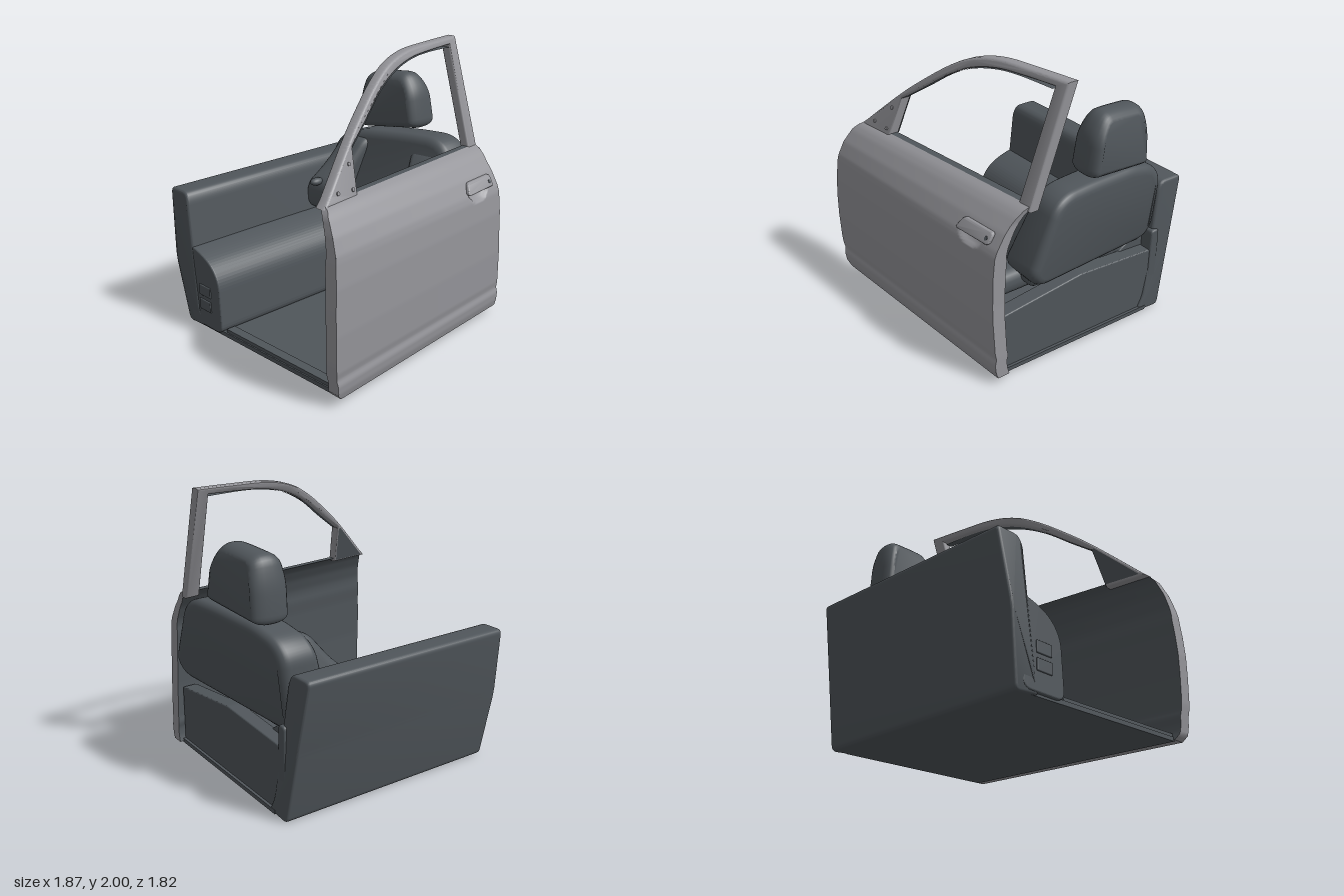
import * as THREE from 'three';
import { mergeVertices, toCreasedNormals } from 'three/addons/utils/BufferGeometryUtils.js';
import { RoundedBoxGeometry } from 'three/addons/geometries/RoundedBoxGeometry.js';

const paint = new THREE.MeshStandardMaterial({ color: 0x95959a, side: THREE.DoubleSide });
paint.name = 'grey paint';
const trim = new THREE.MeshStandardMaterial({ color: 0x50565b, side: THREE.DoubleSide });
trim.name = 'dark trim';

// Piecewise lookup through [key, value] pairs
function look(table, k) {
  let i = 1;
  while (i < table.length - 1 && k > table[i][0]) i++;
  const [a, va] = table[i - 1], [b, vb] = table[i];
  return va + (vb - va) * THREE.MathUtils.clamp((k - a) / (b - a), 0, 1);
}

// Smooth sheet from a rule (u, v) => [x, y, z]
function sheet(rule, nu, nv) {
  const pos = [], idx = [];
  for (let j = 0; j <= nv; j++) for (let i = 0; i <= nu; i++) pos.push(...rule(i / nu, j / nv));
  for (let j = 0; j < nv; j++) for (let i = 0; i < nu; i++) {
    const a = j * (nu + 1) + i, b = a + 1, c = a + nu + 1, d = c + 1;
    idx.push(a, b, d, a, d, c);
  }
  const g = new THREE.BufferGeometry();
  g.setAttribute('position', new THREE.Float32BufferAttribute(pos, 3));
  g.setIndex(idx);
  g.computeVertexNormals();
  return g;
}

// Move every vertex by a rule, then recompute normals
function warp(geo, rule, crease = 0.7) {
  const p = geo.attributes.position, v = new THREE.Vector3();
  for (let i = 0; i < p.count; i++) {
    v.fromBufferAttribute(p, i);
    rule(v);
    p.setXYZ(i, v.x, v.y, v.z);
  }
  geo.deleteAttribute('normal');
  geo.deleteAttribute('uv');
  return toCreasedNormals(mergeVertices(geo, 1e-4), crease);
}

// Polygon with rounded corners
function roundedShape(pts, r) {
  const P = pts.map(p => new THREE.Vector2(...p)), s = new THREE.Shape(), n = P.length;
  P.forEach((p, i) => {
    const toward = q => p.clone().add(q.clone().sub(p).setLength(Math.min(r, q.distanceTo(p) * 0.48)));
    const a = toward(P[(i + n - 1) % n]), b = toward(P[(i + 1) % n]);
    if (i) s.lineTo(a.x, a.y); else s.moveTo(a.x, a.y);
    s.quadraticCurveTo(p.x, p.y, b.x, b.y);
  });
  s.closePath();
  return s;
}

// Padded block between two depths; the bevel stays inside the outline
function pad(pts, r, d0, d1, bevel, thick = bevel) {
  const g = new THREE.ExtrudeGeometry(roundedShape(pts, r), {
    depth: d1 - d0 - 2 * thick, bevelEnabled: true, bevelThickness: thick, bevelSize: bevel,
    bevelOffset: -bevel, bevelSegments: 5, curveSegments: 6,
  });
  return g.translate(0, 0, d0 + thick);
}
// Same, with the outline in (z, y) and the depth along x
const padX = (pts, r, x0, x1, bevel, thick) =>
  pad(pts.map(([z, y]) => [-z, y]).reverse(), r, x0, x1, bevel, thick).rotateY(Math.PI / 2);

// Door surface tables, keyed by height
const BULGE = [[0.05, 0.885], [0.1, 0.9], [0.16, 0.906], [0.2, 0.895], [0.25, 0.904], [0.5, 0.912], [0.8, 0.906],
  [0.96, 0.89], [1.0, 0.883], [1.1, 0.843], [1.19, 0.785], [1.23, 0.745], [1.25, 0.70]];
const TAPER = [[0, -0.092], [0.95, -0.095], [1.25, -0.13]];
const FRONT_X = [[0.05, -0.87], [0.09, -0.905], [0.3, -0.933], [0.65, -0.938], [0.95, -0.92], [1.1, -0.895], [1.2, -0.865], [1.25, -0.82]];
const REAR_X = [[0.05, 0.86], [0.2, 0.858], [0.6, 0.84], [1.15, 0.835], [1.25, 0.855]];
const doorZ = (x, y) => look(BULGE, y) + (x + 0.9) * look(TAPER, y);
const innerZ = (x, y) => doorZ(x, y) - look([[0.05, 0.09], [0.9, 0.095], [1.25, 0.05]], y);
const rowY = v => 0.05 + 1.2 * v;
const rowX = (u, y) => THREE.MathUtils.lerp(look(FRONT_X, y), look(REAR_X, y), u);
// Finger scoop pressed into the skin below the handle
const scoop = (x, y) => 0.04 * Math.sqrt(Math.max(0, 1 - ((x - 0.59) / 0.11) ** 2 - ((y - 1.01) / 0.065) ** 2));

// Window frame lies on a leaning plane
const frameZ = (x, y) => 0.605 - 0.135 * x - 0.33 * (y - 1.25) + 0.04 * (y - 1.25) * (2 - y);

export function createModel() {
  const model = new THREE.Group();
  const add = (name, geo, mat, parent = model) => {
    const m = new THREE.Mesh(geo, mat);
    m.name = name;
    parent.add(m);
    return m;
  };
  const part = name => {
    const g = new THREE.Group();
    g.name = name;
    model.add(g);
    return g;
  };

  // Door shell: painted skin and rim, dark lining and sill
  const door = part('door');
  add('doorSkin', sheet((u, v) => {
    const y = rowY(v), x = rowX(u, y);
    return [x, y, doorZ(x, y) - scoop(x, y)];
  }, 120, 90), paint, door);
  add('doorLining', sheet((u, v) => { const y = rowY(v), x = rowX(1 - u, y); return [x, y, innerZ(x, y)]; }, 24, 60), trim, door);
  for (const [name, e] of [['doorFrontRim', 0], ['doorRearRim', 1]])
    add(name, sheet((u, v) => {
      const y = rowY(v), x = rowX(e, y), t = e ? u : 1 - u;
      return [x, y, THREE.MathUtils.lerp(doorZ(x, y), innerZ(x, y), t)];
    }, 2, 60), paint, door);
  for (const [name, y, mat] of [['doorBottomRim', 0.05, paint], ['doorSill', 1.25, trim]])
    add(name, sheet((u, v) => {
      const x = rowX(u, y), t = y > 1 ? v : 1 - v;
      return [x, y, THREE.MathUtils.lerp(doorZ(x, y), innerZ(x, y), t)];
    }, 24, 2), mat, door);

  // Window frame: rail, rear pillar and front corner plate
  const vec = a => a.map(p => new THREE.Vector2(...p));
  const rail = [[-0.5, 1.535], [-0.3, 1.695], [-0.1, 1.835], [0.08, 1.925], [0.3, 1.975], [0.6, 1.988], [0.88, 1.994]];
  const innerRail = [[0.5, 1.947], [0.3, 1.93], [0.1, 1.88], [-0.1, 1.785], [-0.3, 1.645], [-0.485, 1.52]];
  const frame = new THREE.Shape();
  frame.moveTo(-0.84, 1.23).lineTo(-0.8, 1.26);
  frame.splineThru(vec(rail));
  frame.lineTo(0.86, 1.215).lineTo(0.765, 1.215).lineTo(0.795, 1.957);
  frame.splineThru(vec(innerRail));
  frame.lineTo(-0.53, 1.23).closePath();
  add('windowFrame', warp(new THREE.ExtrudeGeometry(frame, {
    depth: 0.045, bevelEnabled: true, bevelThickness: 0.018, bevelSize: 0.014, bevelOffset: -0.008, bevelSegments: 3, curveSegments: 40,
  }), v => { v.z += frameZ(v.x, v.y) - 0.072; }, 0.7), paint, door);

  // Dark seal under the rail and dark inner face of the corner plate
  const sealCurve = new THREE.SplineCurve(vec([[0.78, 1.945], ...innerRail]));
  add('windowSeal', sheet((u, v) => {
    const p = sealCurve.getPoint(u), y = p.y - 0.01;
    return [p.x, y, frameZ(p.x, y) - 0.012 - 0.055 * v];
  }, 50, 1), trim, door);
  add('cornerLining', sheet((u, v) => {
    const y = 1.24 + 0.27 * v, x = THREE.MathUtils.lerp(-0.8 + 0.29 * v, -0.53 + 0.04 * v, u);
    return [x, y, frameZ(x, y) - 0.096];
  }, 4, 4), trim, door);
  for (const [x, y] of [[-0.7, 1.29], [-0.56, 1.28], [-0.55, 1.43]]) {
    const screw = add('cornerScrew', new THREE.CylinderGeometry(0.013, 0.013, 0.012, 14).rotateX(Math.PI / 2), paint, door);
    screw.position.set(x, y, frameZ(x, y) - 0.008);
    screw.rotation.set(-0.35, 0.13, 0);
  }

  // Door handle: pull and lock
  const onDoor = lift => v => { v.z += doorZ(v.x, v.y) + lift; };
  add('handlePull', warp(pad([[0.45, 1.012], [0.49, 1.09], [0.765, 1.09], [0.765, 1.015]], 0.025, 0, 0.03, 0.01),
    onDoor(-0.004)), paint, door);
  add('handleLock', warp(new THREE.CylinderGeometry(0.012, 0.012, 0.01, 16).rotateX(Math.PI / 2).translate(0.73, 1.05, 0),
    onDoor(0.025)), trim, door);

  // Floor running out to the door, low shelf, wall below the seat
  const body = part('floor');
  const toDoor = v => {
    if (v.z > 0) v.z = innerZ(v.x, 0.05) + 0.01;
    v.y += 0.022 * v.z;
  };
  add('floorPan', warp(new THREE.BoxGeometry(1.69, 0.03, 1.25).translate(-0.015, 0.04, 0.025), toDoor), trim, body);
  add('frontLip', warp(new THREE.BoxGeometry(0.07, 0.03, 0.95).translate(-0.815, 0.065, 0.17), toDoor), trim, body);
  add('rearShelf', warp(new THREE.BoxGeometry(0.47, 0.07, 1.2).translate(0.575, 0.075, 0.02), toDoor), trim, body);
  add('rearWall', padX([[0.65, 0.05], [0.65, 0.475], [0, 0.545], [-0.63, 0.5], [-0.63, 0.03]], 0.02, 0.7, 0.81, 0.01), trim, body);

  // Side ledge with a broad rounded top against the side panel
  add('sideLedge', padX([[-0.32, 0.03], [-0.34, 0.42], [-0.42, 0.53], [-0.55, 0.59], [-0.68, 0.62], [-0.68, 0.03]],
    0.07, -0.88, 0.72, 0.012), trim, body);
  add('ledgeEnd', padX([[-0.61, 0.1], [-0.63, 0.65], [-0.7, 0.65], [-0.7, 0.1]], 0.03, 0.7, 0.815, 0.015), trim, body);
  for (const y of [0.2, 0.31]) {
    const vent = add('ledgeVent', new RoundedBoxGeometry(0.015, 0.08, 0.13, 2, 0.006), trim, body);
    vent.position.set(-0.882, y, -0.5);
  }

  // Leaning side panel opposite the door
  add('sidePanel', warp(padX([[-0.53, 0.015], [-0.58, 0.12], [-0.685, 0.95], [-0.72, 1.0], [-0.9, 1.0], [-0.815, 0.5], [-0.73, 0.0]],
    0.04, -0.87, 0.83, 0.02), v => {
    const e = (v.x + 0.87) / 1.7;
    v.x -= 0.055 * v.y * e + 0.04 * (1 - e) * Math.sin(Math.PI * v.y);
    v.z -= v.y * (0.012 * e - 0.025 * (1 - e));
  }, 0.5), trim);

  // Seat, turned slightly outward
  const seat = part('seat');
  add('cushion', warp(pad([[0.33, 0.53], [0.35, 0.71], [0.73, 0.7], [0.73, 0.53]], 0.09, -0.62, 0.64, 0.04),
    v => { v.x += 0.05 * v.z; v.y += 0.055 * v.z; }), trim, seat);
  add('backrest', warp(padX([[0.515, 0.76], [0.33, 1.21], [0.22, 1.27], [0, 1.265], [-0.4, 1.235], [-0.6, 1.18], [-0.69, 1.08],
    [-0.69, 0.63], [-0.62, 0.545], [0.42, 0.645]], 0.07, 0, 1, 0.06, 0.2), v => {
    const back = look([[0.55, 0.835], [0.7, 0.88], [1.0, 0.915], [1.27, 0.915]], v.y) + 0.13 * (v.z - 0.15);
    const thick = look([[0.55, 0.36], [1.27, 0.24]], v.y);
    v.x = back - (1 - v.x) * thick;
  }, 1.1), trim, seat);
  // Side wings lean in toward the top
  const wing = (name, z0, z1, reach, lean) => {
    add(name, warp(pad([[reach, 0.62], [reach - 0.02, 0.84], [0.48, 0.98], [0.64, 1.18], [0.77, 1.18], [0.8, 0.62]],
      0.08, z0, z1, 0.06), v => {
      v.x += 0.15 * v.z;
      v.z += lean * Math.max(0, v.y - 0.75);
    }, 1.1), trim, seat);
  };
  wing('rightWing', -0.68, -0.42, 0.33, 0.2);
  wing('leftWing', 0.18, 0.46, 0.34, -0.4);
  for (const [x, z] of [[0.23, -0.55], [0.41, 0.43]]) {
    const knob = add('wingKnob', new THREE.SphereGeometry(1, 20, 12), trim, seat);
    knob.scale.set(0.058, 0.03, 0.036);
    knob.position.set(x, 0.86, z);
  }
  add('headrest', warp(padX([[0.05, 1.3], [0.0, 1.58], [-0.09, 1.705], [-0.2, 1.7], [-0.45, 1.67], [-0.49, 1.5], [-0.505, 1.23]],
    0.07, 0.65, 0.91, 0.055, 0.11), v => {
    const t = Math.max(0, (v.y - 1.45) / 0.25);
    v.x = 0.765 + (v.x - 0.775) * (1 - 0.35 * t * t) + 0.12 * (v.z + 0.25);
  }, 1.1), trim, seat);
  return model;
}
